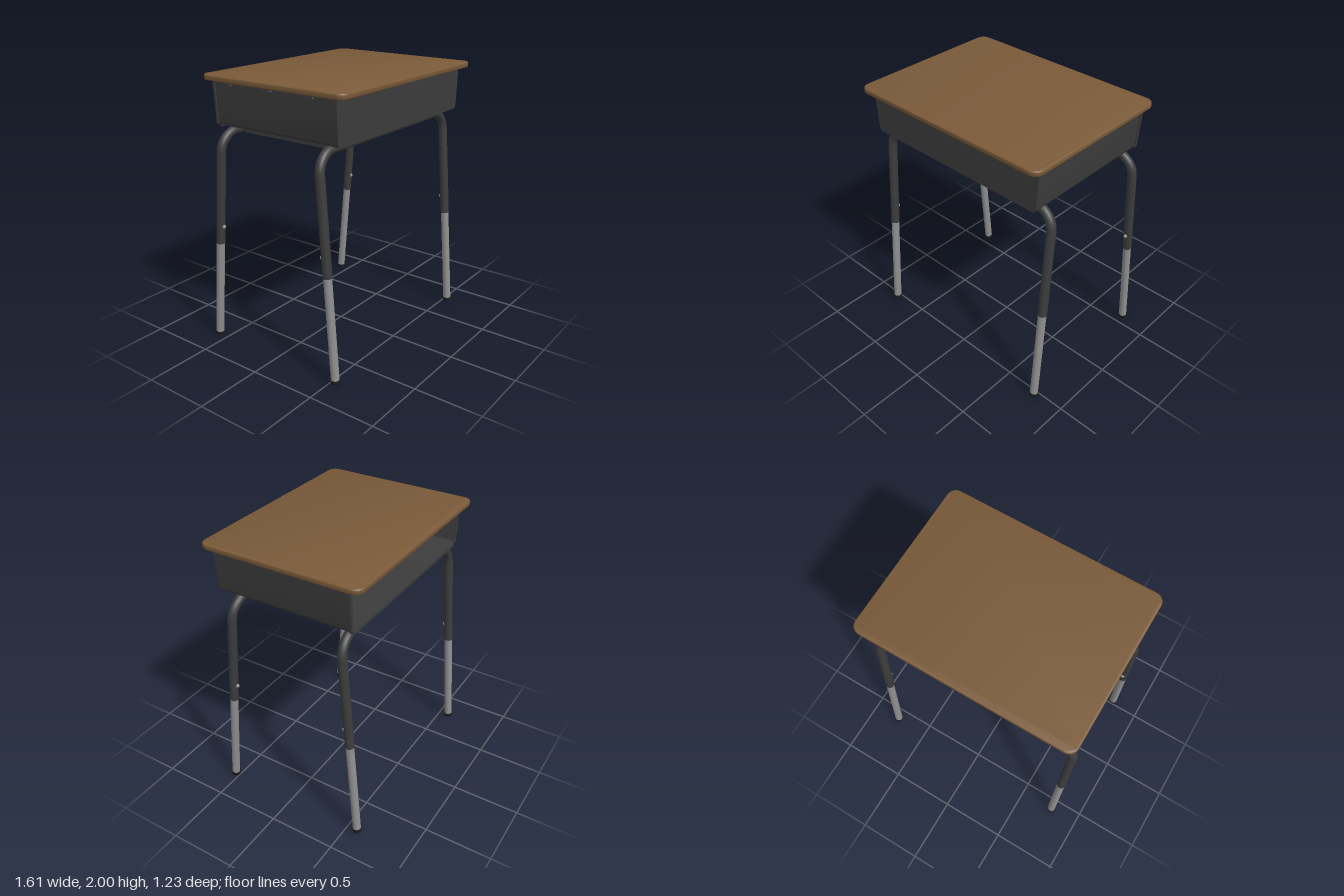
import * as THREE from 'three';
import { toCreasedNormals } from 'three/addons/utils/BufferGeometryUtils.js';

const wood = new THREE.MeshStandardMaterial({ name: 'brownWood', color: 0x7a5a39 });
const steel = new THREE.MeshStandardMaterial({ name: 'darkSteel', color: 0x3c3c3c });
const metal = new THREE.MeshStandardMaterial({ name: 'greyMetal', color: 0x8f8f8f });
const rubber = new THREE.MeshStandardMaterial({ name: 'blackRubber', color: 0x1c1c1c });

function add(parent, name, geometry, material, x = 0, y = 0, z = 0) {
  const mesh = new THREE.Mesh(geometry, material);
  mesh.name = name;
  mesh.position.set(x, y, z);
  parent.add(mesh);
  return mesh;
}

// Rounded rectangle outline centred on the origin
function roundedRect(w, d, r) {
  const x = w / 2, y = d / 2, s = new THREE.Shape();
  s.absarc(x - r, y - r, r, 0, Math.PI / 2);
  s.absarc(-x + r, y - r, r, Math.PI / 2, Math.PI);
  s.absarc(-x + r, -y + r, r, Math.PI, Math.PI * 1.5);
  s.absarc(x - r, -y + r, r, Math.PI * 1.5, Math.PI * 2);
  s.closePath();
  return s;
}

// Half-width points of the tapered tray, bottom centre to top, inset by t
function trayProfile(t) {
  const b = 0.737 - t, top = 0.755 - t, y = 1.645 + t, r = 0.03 - t / 2;
  return [[b - r, y], [b - r * 0.5, y + r * 0.13], [b - r * 0.13, y + r * 0.5], [b, y + r], [top, 1.958]];
}

function traySection(thickness) {
  const side = (t) => trayProfile(t).map(([x, y]) => new THREE.Vector2(x, y));
  const mirror = (pts) => pts.map((p) => new THREE.Vector2(-p.x, p.y)).reverse();
  const outer = side(0);
  const points = [...mirror(outer), ...outer];
  if (thickness) {
    const inner = side(thickness);
    points.push(...inner.slice().reverse(), ...mirror(inner).reverse());
  }
  return new THREE.Shape(points);
}

function extrude(shape, depth) {
  return toCreasedNormals(new THREE.ExtrudeGeometry(shape, { depth, bevelEnabled: false }), 0.6);
}

// Bent tube leg pair, origin at the middle of the crossbar
function legFrame(name, z, tilt, inward) {
  const frame = new THREE.Group();
  frame.name = name;
  const X = 0.77, R = 0.145, K = R * 0.4477, end = -0.828, V = (x, y) => new THREE.Vector3(x, y, 0);
  const path = new THREE.CurvePath();
  path.add(new THREE.LineCurve3(V(-X, end), V(-X, -R)));
  path.add(new THREE.CubicBezierCurve3(V(-X, -R), V(-X, -K), V(-X + K, 0), V(-X + R, 0)));
  path.add(new THREE.LineCurve3(V(-X + R, 0), V(X - R, 0)));
  path.add(new THREE.CubicBezierCurve3(V(X - R, 0), V(X - K, 0), V(X, -K), V(X, -R)));
  path.add(new THREE.LineCurve3(V(X, -R), V(X, end)));
  add(frame, 'bentTube', new THREE.TubeGeometry(path, 120, 0.033, 16), steel);
  for (const s of [-1, 1]) {
    add(frame, 'tubeEnd', new THREE.CylinderGeometry(0.033, 0.033, 0.01, 16), steel, s * X, end, 0);
    add(frame, 'lowerLeg', new THREE.CylinderGeometry(0.03, 0.03, 0.78, 16), metal, s * X, end - 0.37, 0);
    add(frame, 'foot', new THREE.CylinderGeometry(0.034, 0.032, 0.028, 16), rubber, s * X, -1.593, 0);
    add(frame, 'heightButton', new THREE.SphereGeometry(0.015, 12, 8), metal, s * X, -0.697, inward * 0.033);
  }
  frame.position.set(0, 1.605, z);
  frame.rotation.x = tilt;
  return frame;
}

export function createModel() {
  const desk = new THREE.Group();
  desk.name = 'schoolDesk';

  // Wooden top with softened edges
  const topGeo = new THREE.ExtrudeGeometry(roundedRect(1.58, 1.185, 0.055), {
    depth: 0.02, bevelThickness: 0.01, bevelSize: 0.01, bevelSegments: 4, curveSegments: 10,
  });
  topGeo.rotateX(-Math.PI / 2);
  add(desk, 'deskTop', toCreasedNormals(topGeo, 0.7), wood, 0, 1.97, 0.0125);

  // Book tray, closed in front and open at the back
  const tray = new THREE.Group();
  tray.name = 'bookTray';
  desk.add(tray);
  add(tray, 'trayShell', extrude(traySection(0.01), 1.03), steel, 0, 0, -0.5);
  add(tray, 'trayFront', extrude(traySection(0), 0.01), steel, 0, 0, 0.525);

  // Folded rim around the open side
  add(tray, 'rimBottom', new THREE.BoxGeometry(1.43, 0.024, 0.016), steel, 0, 1.645, -0.502);
  for (const s of [-1, 1]) {
    const rim = add(tray, 'rimSide', new THREE.BoxGeometry(0.022, 0.3, 0.016), steel, s * 0.744, 1.807, -0.502);
    rim.rotation.z = -s * 0.064;
  }

  // Fixing flanges under the top, with screws
  add(tray, 'frontFlange', new THREE.BoxGeometry(1.4, 0.008, 0.04), steel, 0, 1.955, 0.55);
  for (const x of [-0.5, -0.17, 0.17, 0.5])
    add(tray, 'screw', new THREE.CylinderGeometry(0.008, 0.008, 0.006, 10), metal, x, 1.949, 0.553);
  for (const s of [-1, 1]) {
    add(tray, 'sideFlange', new THREE.BoxGeometry(0.036, 0.008, 0.94), steel, s * 0.764, 1.955, 0.02);
    for (const z of [-0.33, 0.02, 0.37])
      add(tray, 'screw', new THREE.CylinderGeometry(0.008, 0.008, 0.006, 10), metal, s * 0.77, 1.949, z);
  }

  // Rails joining the two leg frames below the tray
  for (const s of [-1, 1]) {
    const rail = new THREE.Group();
    rail.name = 'underRail';
    add(rail, 'railWeb', new THREE.BoxGeometry(0.04, 0.07, 0.83), steel, 0, 1.602, -0.02);
    add(rail, 'railFlange', new THREE.BoxGeometry(0.2, 0.008, 0.83), steel, s * 0.055, 1.641, -0.02);
    for (const z of [-0.25, -0.02, 0.21])
      add(rail, 'rivet', new THREE.SphereGeometry(0.01, 10, 6), metal, -s * 0.034, 1.636, z);
    rail.position.x = s * 0.528;
    desk.add(rail);
  }

  desk.add(legFrame('frontLegs', 0.405, -0.081, -1));
  desk.add(legFrame('backLegs', -0.445, 0.084, 1));
  return desk;
}
